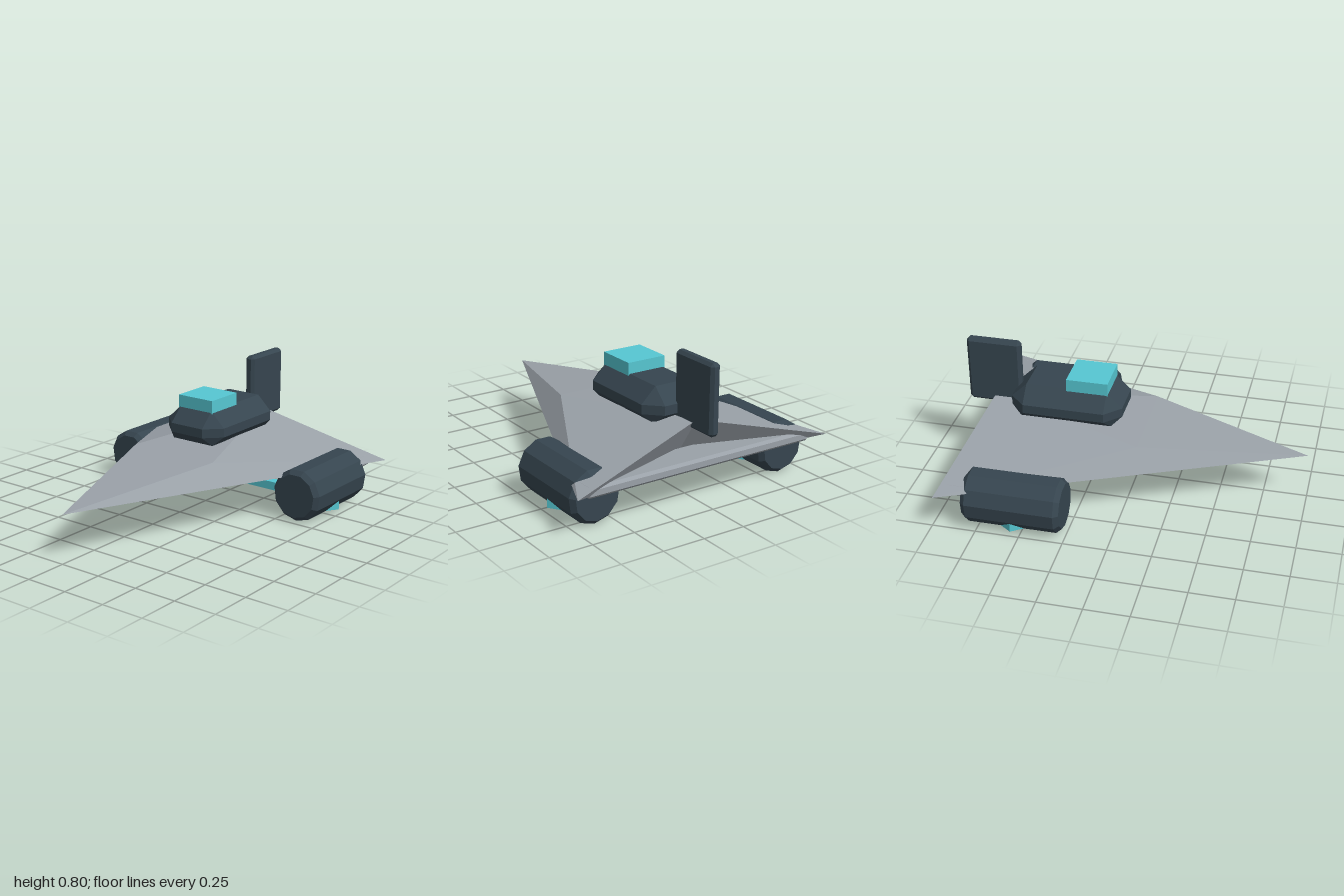
import * as THREE from 'three';
import { ConvexGeometry } from 'three/addons/geometries/ConvexGeometry.js';

const flat = (name, color) => {
  const m = new THREE.MeshStandardMaterial({ color, flatShading: true });
  m.name = name;
  return m;
};

// Box with chamfered edges, hx/hy/hz are half sizes
function bevelBox(hx, hy, hz, b) {
  const pts = [];
  for (const x of [-1, 1]) for (const y of [-1, 1]) for (const z of [-1, 1]) {
    pts.push(new THREE.Vector3(x * hx, y * (hy - b), z * (hz - b)));
    pts.push(new THREE.Vector3(x * (hx - b), y * hy, z * (hz - b)));
    pts.push(new THREE.Vector3(x * (hx - b), y * (hy - b), z * hz));
  }
  return new ConvexGeometry(pts);
}

// Arrow-shaped hull with a notched tail
function hullGeometry() {
  const P = {
    nose: [0, 0.275, 0.99], keel: [0, 0.1, -0.61], crest: [0, 0.45, -0.84],
    shoulderL: [0.28, 0.375, 0.06], shoulderR: [-0.28, 0.375, 0.06],
    tipL: [0.81, 0.235, -0.96], tipR: [-0.81, 0.235, -0.96],
  };
  const faces = [
    ['nose', 'shoulderL', 'shoulderR'],
    ['shoulderR', 'shoulderL', 'crest'],
  ];
  const half = [
    ['shoulder', 'tip', 'crest'], ['nose', 'tip', 'shoulder'],
    ['nose', 'keel', 'tip'], ['tip', 'keel', 'crest'],
  ];
  for (const f of half) {
    const side = (s) => f.map((n) => (P[n] ? n : n + s));
    faces.push(side('L'), side('R').reverse());
  }
  const g = new THREE.BufferGeometry();
  const pos = faces.flat().flatMap((n) => P[n]);
  g.setAttribute('position', new THREE.Float32BufferAttribute(pos, 3));
  g.computeVertexNormals();
  return g;
}

// Cockpit pod: chamfered middle rings, smaller top and bottom
function podGeometry() {
  const pts = [];
  for (const x of [-1, 1]) for (const z of [-1, 1]) {
    pts.push(new THREE.Vector3(x * 0.14, 0.4, z * 0.265));
    pts.push(new THREE.Vector3(x * 0.11, 0.595, z * 0.235));
    for (const y of [0.455, 0.508]) {
      pts.push(new THREE.Vector3(x * 0.2, y, z * 0.235));
      pts.push(new THREE.Vector3(x * 0.11, y, z * 0.325));
    }
  }
  return new ConvexGeometry(pts);
}

export function createModel() {
  const model = new THREE.Group();
  const grey = flat('hull grey', 0x9aa1a8);
  const dark = flat('dark slate', 0x36454f);
  const cyan = flat('cyan', 0x56c7d2);

  const add = (name, geo, mat, x = 0, y = 0, z = 0) => {
    const mesh = new THREE.Mesh(geo, mat);
    mesh.name = name;
    mesh.position.set(x, y, z);
    model.add(mesh);
    return mesh;
  };

  add('hull', hullGeometry(), grey);
  add('tailBeam', bevelBox(0.725, 0.031, 0.1, 0.015), grey, 0, 0.231, -0.82);
  add('pod', podGeometry(), dark, 0, 0, -0.388);
  add('canopy', new THREE.BoxGeometry(0.24, 0.09, 0.24), cyan, 0, 0.614, -0.265);
  add('tailFin', bevelBox(0.03, 0.2, 0.16, 0.017), dark, 0, 0.602, -0.84);
  add('axle', new THREE.BoxGeometry(1.1, 0.05, 0.06), cyan, 0, 0.073, -0.57);

  // Engine pods, 11-sided with chamfered ends
  const profile = [[0, -0.28], [0.13, -0.28], [0.155, -0.252], [0.155, 0.252], [0.13, 0.28], [0, 0.28]]
    .map(([r, y]) => new THREE.Vector2(r, y));
  const engine = new THREE.LatheGeometry(profile, 11).rotateX(Math.PI / 2);

  // Diamond-shaped plates through the engine undersides
  const diamond = new THREE.CylinderGeometry(1, 1, 0.075, 4).scale(0.13, 1, 0.19);

  for (const [side, s] of [['left', 1], ['right', -1]]) {
    add(side + 'Engine', engine, dark, s * 0.612, 0.155, -0.55);
    add(side + 'EnginePlate', diamond, cyan, s * 0.612, 0.0625, -0.55);
  }
  return model;
}
